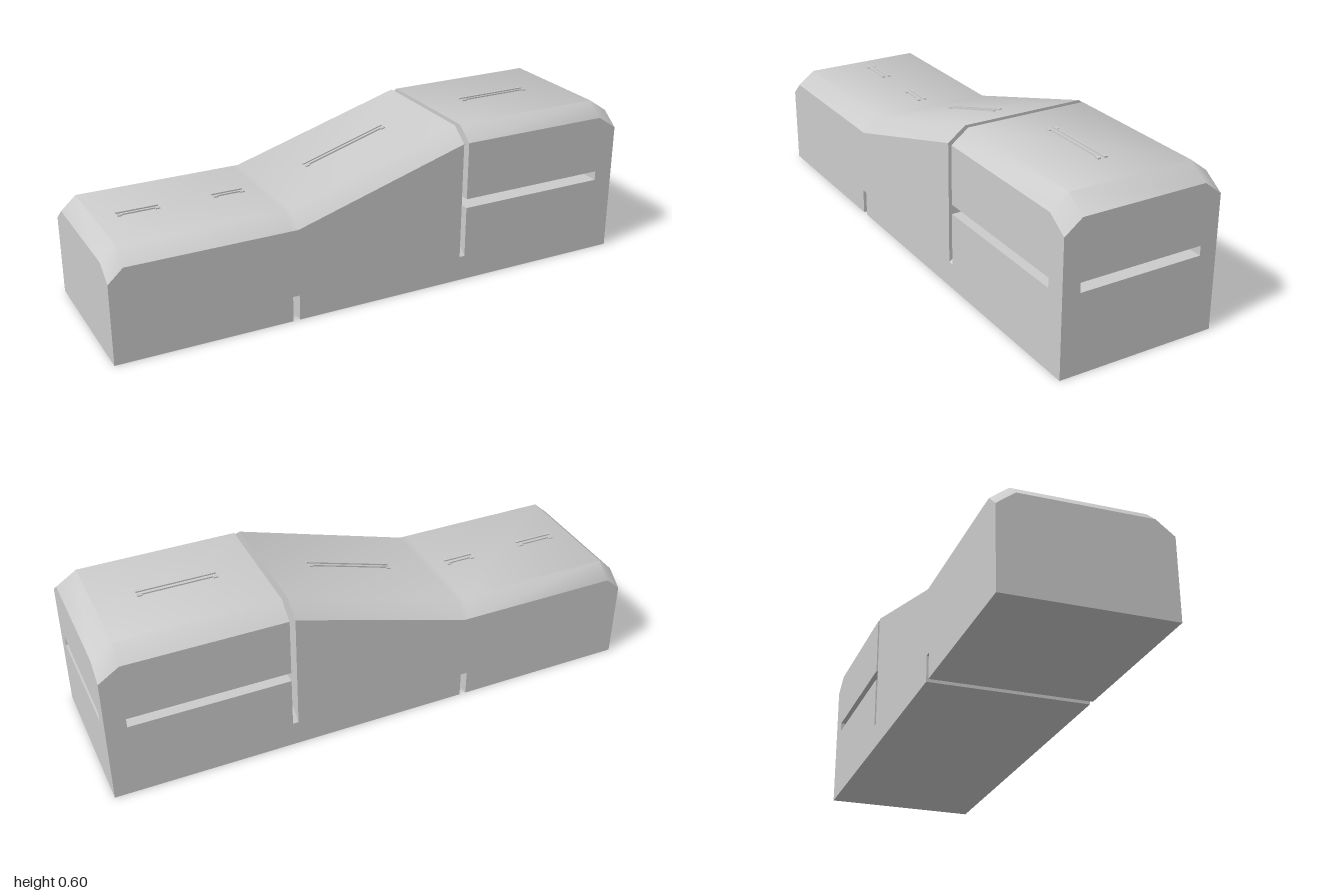
import * as THREE from 'three';
import { toCreasedNormals } from 'three/addons/utils/BufferGeometryUtils.js';

const HALF = 0.295, INNER = 0.23, BEVEL = 0.05;

// Loft along x through bevelled cross-sections; station = [x, bottom, top, bevel]
function loft(stations) {
  const pos = [], idx = [], n = 6;
  for (const [x, b, t, c = BEVEL] of stations) {
    pos.push(x, b, -HALF, x, t - c, -HALF, x, t, -INNER, x, t, INNER, x, t - c, HALF, x, b, HALF);
  }
  for (let s = 0; s < stations.length - 1; s++) {
    for (let i = 0; i < n; i++) {
      const a = s * n + i, b = s * n + (i + 1) % n;
      idx.push(a, b, a + n, b, b + n, a + n);
    }
  }
  const last = (stations.length - 1) * n;
  for (let i = 1; i < n - 1; i++) {
    idx.push(0, i + 1, i, last, last + i, last + i + 1);
  }
  const g = new THREE.BufferGeometry();
  g.setAttribute('position', new THREE.Float32BufferAttribute(pos, 3));
  g.setIndex(idx);
  return toCreasedNormals(g, 0.8);
}

export function createModel() {
  const model = new THREE.Group();
  model.name = 'steppedBlock';
  const grey = new THREE.MeshStandardMaterial({ color: 0xcccccc });
  grey.name = 'lightGrey';

  const add = (name, geometry, parent = model) => {
    const m = new THREE.Mesh(geometry, grey);
    m.name = name;
    parent.add(m);
    return m;
  };
  const box = (name, x0, x1, y0, y1, z0, z1, parent) =>
    add(name, new THREE.BoxGeometry(x1 - x0, y1 - y0, z1 - z0), parent)
      .position.set((x0 + x1) / 2, (y0 + y1) / 2, (z0 + z1) / 2);

  // Low end, bottom notch, ramp, vertical slit and lower part of the tall end
  add('body', loft([
    [-1, 0, 0.345], [-0.945, 0, 0.395],
    [-0.355, 0, 0.395], [-0.355, 0.095, 0.395],
    [-0.33, 0.095, 0.395], [-0.33, 0, 0.395],
    [0.323, 0, 0.59], [0.323, 0, 0.145],
    [0.344, 0, 0.145], [0.344, 0, 0.288, 0], [1, 0, 0.288, 0],
  ]));

  // Upper part of the tall end, above the horizontal slot
  add('upperBlock', loft([[0.344, 0.323, 0.59], [0.925, 0.323, 0.59], [1, 0.323, 0.54]]));

  // Corner posts carrying the upper part
  for (const s of [-1, 1]) {
    box('cornerPost', 0.926, 1, 0.288, 0.323, Math.min(s * INNER, s * HALF), Math.max(s * INNER, s * HALF));
  }

  // Paired thin rails with wider tabs at both ends
  const rails = (name, x, y, length, tilt = 0) => {
    const g = new THREE.Group();
    g.name = name;
    g.position.set(x, y, 0);
    g.rotation.z = tilt;
    const h = length / 2;
    for (const s of [-1, 1]) {
      const span = (a, b) => s > 0 ? [a, b] : [-b, -a];
      box('rail', -h, h, -0.003, 0.005, ...span(0.007, 0.012), g);
      for (const e of [-1, 1]) {
        const c = e * (h - 0.008);
        box('railTab', c - 0.008, c + 0.008, -0.003, 0.0045, ...span(0.0075, 0.019), g);
      }
    }
    model.add(g);
  };
  rails('endRails', -0.795, 0.395, 0.15);
  rails('shortRails', -0.465, 0.395, 0.115);
  rails('rampRails', -0.005, 0.492, 0.335, Math.atan2(0.195, 0.653));
  rails('topRails', 0.635, 0.59, 0.285);
  rails('slotRails', 0.635, 0.288, 0.285);

  return model;
}
